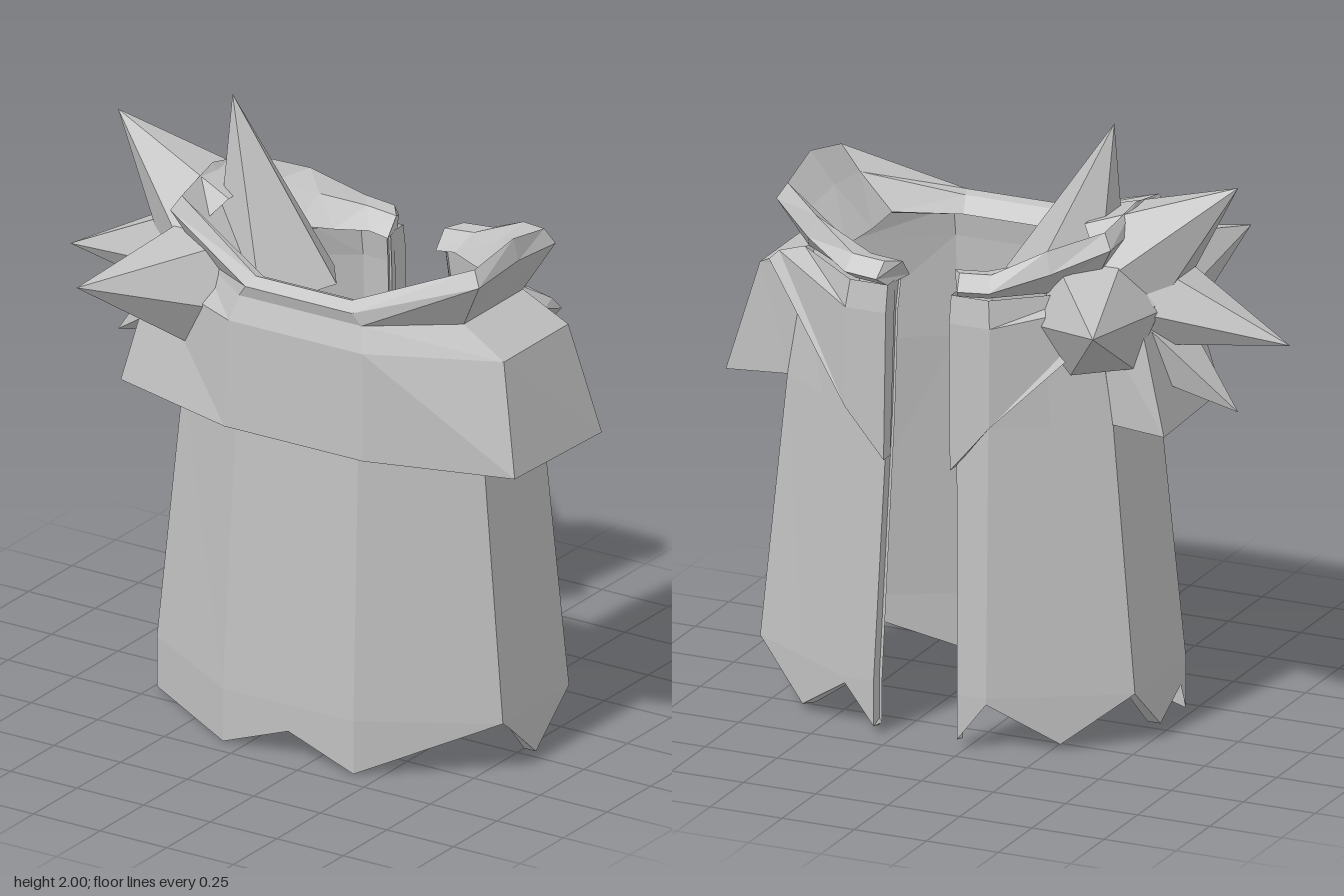
import * as THREE from 'three';

const CX = 0.17; // the robe is symmetric about this x
const cloth = new THREE.MeshStandardMaterial({ color: 0xc0c0c0, flatShading: true, side: THREE.DoubleSide });
cloth.name = 'grey cloth';

// Sheet through rows of [x, y, z] points, faceted
function sheet(name, rows) {
  const pos = [];
  for (let r = 0; r < rows.length - 1; r++) {
    for (let c = 0; c < rows[r].length - 1; c++) {
      const a = rows[r][c], b = rows[r][c + 1], d = rows[r + 1][c], e = rows[r + 1][c + 1];
      pos.push(...a, ...d, ...b, ...b, ...d, ...e);
    }
  }
  const g = new THREE.BufferGeometry();
  g.setAttribute('position', new THREE.Float32BufferAttribute(pos, 3));
  g.computeVertexNormals();
  const m = new THREE.Mesh(g, cloth);
  m.name = name;
  return m;
}

// Mirror a half row [dx, y, z] (back opening to front) into a full row
function mirrorRow(half) {
  return [
    ...half.map(([x, y, z]) => [CX + x, y, z]),
    ...half.slice().reverse().map(([x, y, z]) => [CX - x, y, z]),
  ];
}

// Faceted spike from a base centre to a tip
function spike(name, base, tip, radius, sides, twist = 0) {
  const b = new THREE.Vector3(...base), t = new THREE.Vector3(...tip);
  const dir = t.clone().sub(b), len = dir.length();
  const g = new THREE.ConeGeometry(radius, len, sides, 1, true);
  g.rotateY(twist);
  g.translate(0, len / 2, 0);
  const m = new THREE.Mesh(g, cloth);
  m.quaternion.setFromUnitVectors(new THREE.Vector3(0, 1, 0), dir.normalize());
  m.position.copy(b);
  m.name = name;
  return m;
}

export function createModel() {
  const model = new THREE.Group();
  model.name = 'spikedRobe';

  // Robe: folded edge at the back opening, then panel corners and panel middles
  const ring = (y, side, sideZ, corner, depth, edge) => mirrorRow([
    [edge, y, -depth + 0.045], [edge, y, -depth], [corner, y, -depth],
    [(corner + side) / 2, y, -(depth + sideZ) / 2], [side, y, -sideZ], [side, y, 0],
    [side, y, sideZ - 0.04], [side, y, sideZ], [corner, y, depth], [0, y, depth],
  ]);
  const knee = ring(0.18, 0.65, 0.19, 0.245, 0.43, 0.145);
  const hemY = [
    0.02, 0.03, 0.16, 0.02, 0.18, 0.02, 0.15, 0.18, 0.0, 0.09,
    0.09, 0.0, 0.01, 0.1, 0.02, 0.18, 0.02, 0.16, 0.03, 0.02,
  ];
  const hem = knee.map(([x, , z], i) => [x, hemY[i], z]);
  const rows = [
    ring(1.5, 0.47, 0.16, 0.23, 0.35, 0.11),
    ring(1.4, 0.51, 0.165, 0.23, 0.365, 0.115),
    ring(1.06, 0.565, 0.17, 0.23, 0.38, 0.12),
    knee,
    hem,
  ];
  model.add(sheet('robe', rows));

  // Lining that gives the side and back panels their thickness
  const inset = ([x, y, z]) => (z > 0.1 ? [x, y, z] : [CX + (x - CX) * 0.93, y, z * 0.9]);
  for (const [name, from, to] of [['leftLining', 1, 7], ['rightLining', 13, 19]]) {
    const part = (row) => row.slice(from, to);
    model.add(sheet(name, [part(hem), ...rows.slice().reverse().map((r) => part(r).map(inset))]));
  }

  // Mantle over the shoulders and front, with ends turned in to the robe
  model.add(sheet('mantle', [
    mirrorRow([[0.47, 1.5, -0.16], [0.49, 1.5, -0.17], [0.49, 1.5, 0.17], [0.23, 1.5, 0.36]]),
    mirrorRow([[0.5, 1.42, -0.16], [0.66, 1.42, -0.17], [0.66, 1.42, 0.2], [0.25, 1.42, 0.39]]),
    mirrorRow([[0.56, 1.06, -0.17], [0.76, 1.06, -0.21], [0.74, 1.06, 0.26], [0.26, 1.06, 0.4]]),
  ]));

  // Back drapes, cut diagonally from the shoulder down to the opening
  for (const s of [1, -1]) {
    const row = (pts) => pts.map(([x, y, z]) => [CX + s * x, y, z]);
    model.add(sheet(s > 0 ? 'leftBackDrape' : 'rightBackDrape', [
      row([[0.11, 1.5, -0.34], [0.11, 1.5, -0.4], [0.24, 1.5, -0.4], [0.5, 1.5, -0.18]]),
      row([[0.11, 1.41, -0.35], [0.11, 1.41, -0.415], [0.25, 1.41, -0.415], [0.58, 1.48, -0.2]]),
      row([[0.115, 0.92, -0.37], [0.115, 0.92, -0.42], [0.25, 1.08, -0.42], [0.61, 1.45, -0.21]]),
      row([[0.115, 0.92, -0.37], [0.115, 0.92, -0.37], [0.24, 1.08, -0.38], [0.52, 1.44, -0.17]]),
    ]));
  }

  // Collar: each section runs base, outer edge, rim, inner lip, inner base
  const sections = [
    [[0.12, 1.49, -0.38], [0.14, 1.52, -0.42], [0.13, 1.57, -0.38], [0.09, 1.56, -0.33], [0.09, 1.5, -0.28]],
    [[0.23, 1.5, -0.38], [0.25, 1.53, -0.42], [0.24, 1.58, -0.38], [0.2, 1.57, -0.33], [0.16, 1.51, -0.28]],
    [[0.36, 1.5, -0.27], [0.42, 1.59, -0.33], [0.4, 1.66, -0.31], [0.34, 1.6, -0.27], [0.26, 1.51, -0.23]],
    [[0.49, 1.5, -0.17], [0.58, 1.66, -0.22], [0.55, 1.71, -0.2], [0.48, 1.63, -0.19], [0.36, 1.52, -0.17]],
    [[0.49, 1.5, 0], [0.585, 1.68, 0], [0.565, 1.75, 0], [0.48, 1.65, 0], [0.35, 1.52, 0]],
    [[0.49, 1.5, 0.17], [0.58, 1.66, 0.22], [0.55, 1.71, 0.2], [0.48, 1.63, 0.19], [0.36, 1.52, 0.17]],
    [[0.23, 1.5, 0.36], [0.2, 1.54, 0.37], [0.18, 1.57, 0.34], [0.17, 1.56, 0.31], [0.16, 1.51, 0.27]],
  ];
  model.add(sheet('collar', [0, 1, 2, 3, 4, 0].map((k) => mirrorRow(sections.map((s) => s[k])))));
  // Closed collar ends at the back opening
  for (const s of [1, -1]) {
    const p = sections[0].map(([x, y, z]) => [CX + s * x, y, z]);
    model.add(sheet(s > 0 ? 'leftCollarEnd' : 'rightCollarEnd', [[p[0], p[1], p[2]], [p[4], p[3], p[2]]]));
  }

  // Spiked pauldron on the right shoulder
  const pauldron = new THREE.Group();
  pauldron.name = 'spikedPauldron';
  const core = new THREE.Mesh(new THREE.IcosahedronGeometry(1, 0), cloth);
  core.name = 'pauldronCore';
  core.scale.set(0.2, 0.2, 0.25);
  core.position.set(-0.35, 1.46, 0);
  pauldron.add(core);
  pauldron.add(spike('topSpike', [-0.14, 1.38, 0], [-0.32, 2.0, 0], 0.22, 5, Math.PI / 2));
  pauldron.add(spike('upperSpike', [-0.38, 1.55, 0], [-0.75, 1.85, 0], 0.21, 6));
  pauldron.add(spike('sideSpike', [-0.38, 1.46, 0], [-0.93, 1.35, 0], 0.19, 6));
  pauldron.add(spike('lowerSpike', [-0.43, 1.32, 0], [-0.75, 1.1, 0], 0.15, 5));
  for (const s of [1, -1]) {
    pauldron.add(spike(s > 0 ? 'frontSpike' : 'backSpike', [-0.35, 1.42, s * 0.2], [-0.52, 1.5, s * 0.59], 0.2, 6));
  }
  model.add(pauldron);
  return model;
}
